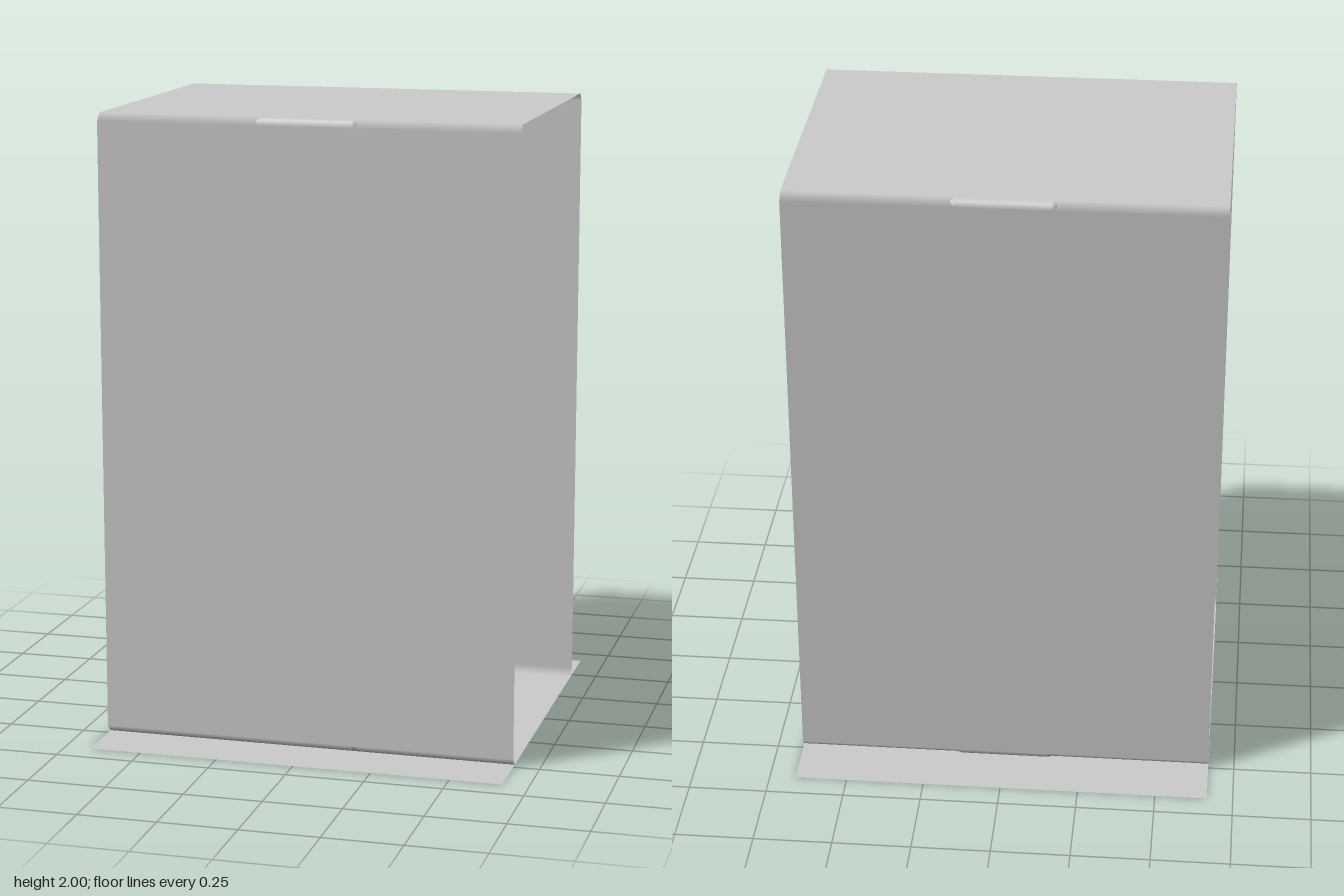
import * as THREE from 'three';
import { RoundedBoxGeometry } from 'three/addons/geometries/RoundedBoxGeometry.js';

const HALF_W = 2 / 3, HALF_D = 0.5, HEIGHT = 2, BEVEL = 0.024;

// Open-sided sleeve: bevelled profile in the z-y plane swept along x.
function sleeveGeometry() {
  const d = HALF_D, c = BEVEL, h = HEIGHT;
  // each entry: z, y, normal z, normal y
  const front = [[d - c, 0, 0, -1], [d, c, 1, 0], [d, h - c, 1, 0], [d - c, h, 0, 1]];
  const back = front.map(([z, y, nz, ny]) => [-z, y, -nz, ny]).reverse();
  const positions = [], normals = [], index = [];
  [...front, ...back].forEach(([z, y, nz, ny], i) => {
    for (const x of [-HALF_W, HALF_W]) {
      positions.push(x, y, z);
      normals.push(0, ny, nz);
    }
    if (i > 0) {
      const a = 2 * (i - 1);
      index.push(a, a + 1, a + 3, a, a + 3, a + 2);
    }
  });
  const geometry = new THREE.BufferGeometry();
  geometry.setAttribute('position', new THREE.Float32BufferAttribute(positions, 3));
  geometry.setAttribute('normal', new THREE.Float32BufferAttribute(normals, 3));
  geometry.setIndex(index);
  return geometry;
}

export function createModel() {
  const group = new THREE.Group();
  const solid = new THREE.MeshStandardMaterial({ color: 0xcccccc });
  const thin = new THREE.MeshStandardMaterial({ color: 0xcccccc, side: THREE.DoubleSide });
  const add = (name, geometry, material) => {
    const mesh = new THREE.Mesh(geometry, material);
    mesh.name = name;
    group.add(mesh);
    return mesh;
  };

  // Front wall, roof and back wall in one bent sheet
  add('sleeve', sleeveGeometry(), thin);

  // Bevelled block closing the middle of the sleeve
  const core = new RoundedBoxGeometry(1 / 3, HEIGHT, 2 * HALF_D, 1, BEVEL);
  add('core', core, solid).position.y = HEIGHT / 2;

  // Flat square ground plate, also the floor of both recesses
  const plate = new THREE.PlaneGeometry(2 * HALF_W, 2 * HALF_W).rotateX(-Math.PI / 2);
  add('basePlate', plate, thin);

  return group;
}
